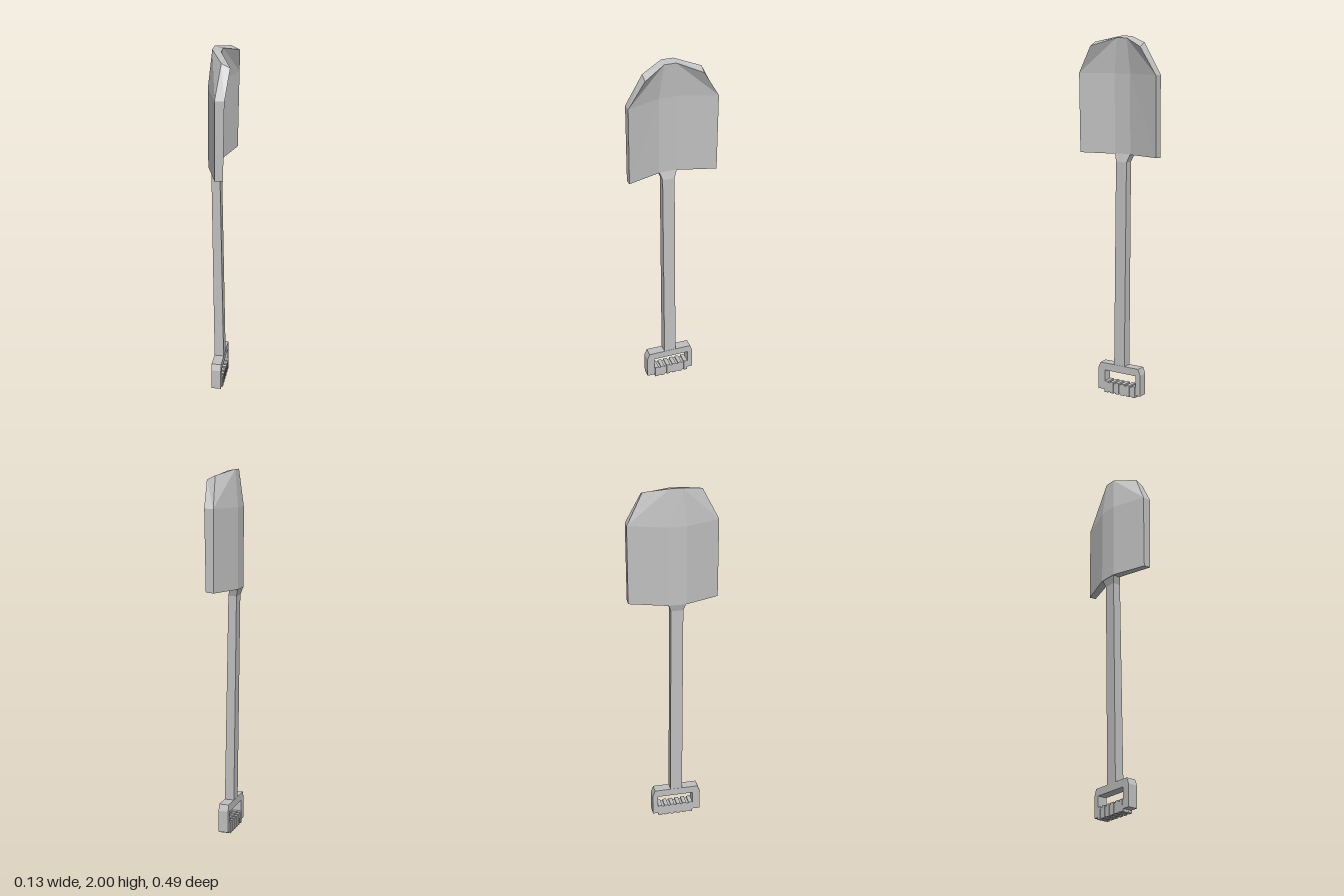
import * as THREE from 'three';

// Closed slab from two matching point grids: rows run up (+y), columns run along +z
function slab(back, front) {
  const pos = [];
  const quad = (a, b, c, d) => pos.push(...a, ...b, ...c, ...a, ...c, ...d);
  const R = back.length - 1, C = back[0].length - 1;
  for (let r = 0; r < R; r++) {
    for (let c = 0; c < C; c++) {
      const f = (g) => [g[r][c], g[r + 1][c], g[r + 1][c + 1], g[r][c + 1]];
      const [a, b, d, e] = f(front), [p, q, s, t] = f(back);
      if (c < C / 2) { quad(a, b, d, e); quad(p, t, s, q); }
      else { quad(b, d, e, a); quad(t, s, q, p); }
    }
    quad(back[r][0], back[r + 1][0], front[r + 1][0], front[r][0]);
    quad(front[r][C], front[r + 1][C], back[r + 1][C], back[r][C]);
  }
  for (let c = 0; c < C; c++) {
    quad(back[0][c], front[0][c], front[0][c + 1], back[0][c + 1]);
    quad(back[R][c + 1], front[R][c + 1], front[R][c], back[R][c]);
  }
  const geo = new THREE.BufferGeometry();
  geo.setAttribute('position', new THREE.Float32BufferAttribute(pos, 3));
  geo.computeVertexNormals();
  return geo;
}

export function createModel() {
  const group = new THREE.Group();
  group.name = 'shovel';
  const metal = new THREE.MeshStandardMaterial({ color: 0xc0c0c0, flatShading: true });
  metal.name = 'grey metal';
  const add = (name, geo, parent = group) => {
    const mesh = new THREE.Mesh(geo, metal);
    mesh.name = name;
    parent.add(mesh);
    return mesh;
  };

  // Blade: folded plate, each row has outer and inner points [x, y] plus four z positions
  const row = (outer, inner, z) => z.map((v, i) => [...(i === 0 || i === 3 ? outer : inner), v]);
  const wide = [-0.245, -0.042, 0.058, 0.245];
  const tip = [-0.157, -0.03, 0.035, 0.159];
  add('blade', slab(
    [row([0, 1.36], [-0.068, 1.36], wide), row([0, 1.8], [-0.068, 1.8], wide), row([0.02, 1.968], [-0.048, 2], tip)],
    [row([0.043, 1.365], [-0.02, 1.362], wide), row([0.05, 1.8], [-0.018, 1.8], wide), row([0.066, 1.947], [-0.002, 1.99], tip)],
  ));

  // Shaft with flared neck: [y, back x, front x, min z, max z]
  const sections = [
    [0.15, -0.04, 0.013, -0.025, 0.043],
    [1.32, -0.054, -0.008, -0.025, 0.043],
    [1.365, -0.067, -0.02, -0.041, 0.057],
  ];
  add('shaft', slab(
    sections.map(([y, b, , z0, z1]) => [[b, y, z0], [b, y, z1]]),
    sections.map(([y, , f, z0, z1]) => [[f, y, z0], [f, y, z1]]),
  ));

  // D-shaped handle frame
  const handle = new THREE.Group();
  handle.name = 'handle';
  group.add(handle);
  const outline = [[-0.147, 0.014], [0.133, 0.014], [0.133, 0.135], [0.12, 0.17], [-0.133, 0.17], [-0.147, 0.135]];
  const shape = new THREE.Shape(outline.map(([u, y]) => new THREE.Vector2(u - 0.003, y)));
  const hole = [[-0.106, 0.058], [-0.106, 0.128], [0.1, 0.128], [0.1, 0.058]];
  shape.holes.push(new THREE.Path(hole.map(([u, y]) => new THREE.Vector2(u, y))));
  const frame = new THREE.ExtrudeGeometry(shape, { depth: 0.055, bevelEnabled: false });
  frame.rotateY(Math.PI / 2);
  frame.translate(-0.041, 0, 0);
  add('handleFrame', frame, handle);

  // Grip core with finger ridges
  const core = add('grip', new THREE.BoxGeometry(0.058, 0.054, 0.204), handle);
  core.position.set(-0.013, 0.031, 0.003);
  for (let i = 0; i < 6; i++) {
    const ridge = add('gripRidge', new THREE.BoxGeometry(0.064, 0.066, 0.022), handle);
    ridge.position.set(-0.013, 0.033, 0.003 + (i - 2.5) * 0.036);
  }
  return group;
}
